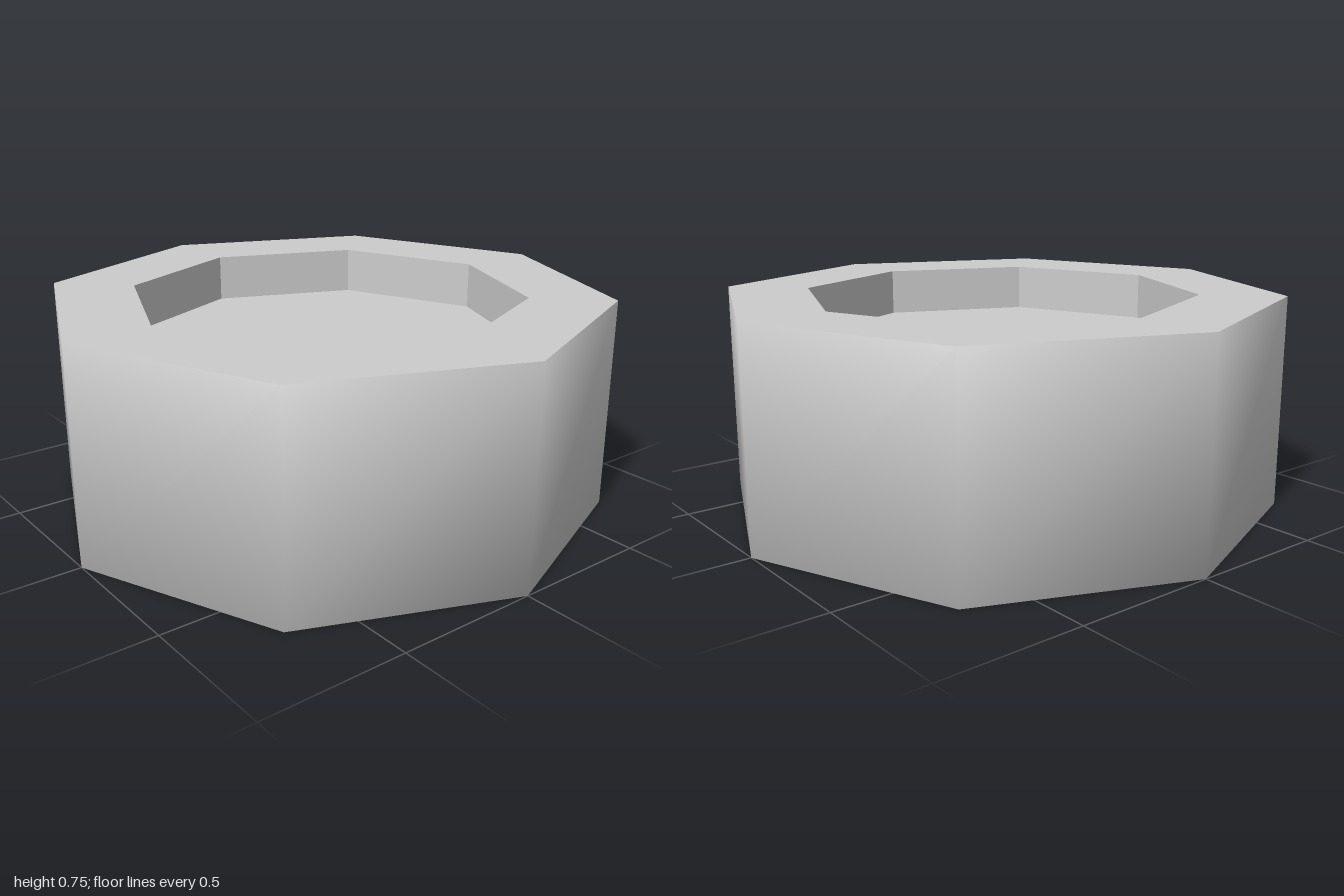
import * as THREE from 'three';

const SIDES = 8, HEIGHT = 0.755, OUTER = 1, INNER = 0.7, DEPTH = 0.17;

export function createModel() {
  const group = new THREE.Group();
  group.name = 'octagonalTub';
  const grey = new THREE.MeshStandardMaterial({ color: 0xcccccc, side: THREE.DoubleSide });
  grey.name = 'light grey';

  const add = (name, geometry, y) => {
    const mesh = new THREE.Mesh(geometry, grey);
    mesh.name = name;
    mesh.position.y = y;
    group.add(mesh);
  };

  // Outer wall: open below, with softly rounded shading
  const wall = new THREE.CylinderGeometry(OUTER, OUTER, HEIGHT, SIDES, 1, true);
  const position = wall.attributes.position, normal = wall.attributes.normal;
  const v = new THREE.Vector3();
  for (let i = 0; i < position.count; i++) {
    v.fromBufferAttribute(position, i).normalize();
    normal.setXYZ(i, v.x, v.y, v.z);
  }
  add('outerWall', wall, HEIGHT / 2);

  // Flat rim around the recess
  add('topRim', new THREE.RingGeometry(INNER, OUTER, SIDES, 1).rotateX(-Math.PI / 2), HEIGHT);

  // Recess: faceted walls turned inward, and a flat floor
  const recess = new THREE.CylinderGeometry(INNER, INNER, DEPTH, SIDES, 1, true).toNonIndexed();
  recess.scale(-1, 1, 1); // mirrors the winding so the faces look inward
  recess.computeVertexNormals();
  add('recessWall', recess, HEIGHT - DEPTH / 2);
  add('recessFloor', new THREE.CircleGeometry(INNER, SIDES).rotateX(-Math.PI / 2), HEIGHT - DEPTH);

  return group;
}
